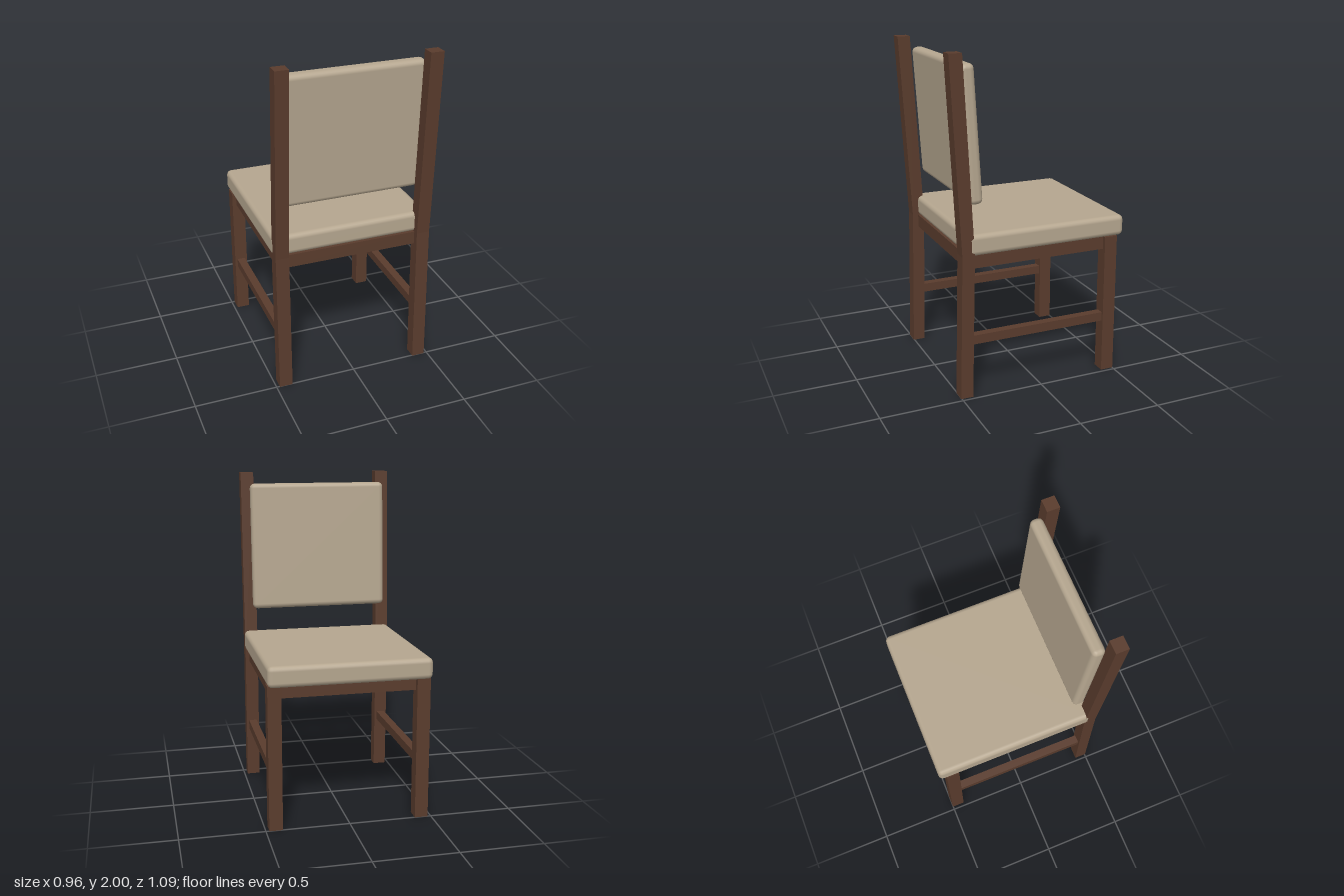
import * as THREE from 'three';
import { RoundedBoxGeometry } from 'three/addons/geometries/RoundedBoxGeometry.js';

const wood = new THREE.MeshStandardMaterial({ color: 0x5a3c2d });
const fabric = new THREE.MeshStandardMaterial({ color: 0xb5a68f });

function add(group, name, geometry, material, x, y, z) {
  const mesh = new THREE.Mesh(geometry, material);
  mesh.name = name;
  mesh.position.set(x, y, z);
  group.add(mesh);
  return mesh;
}

// Bent post: side profile in (z, y), extruded across x
function postGeometry(width) {
  const profile = new THREE.Shape([
    [0.43, 0], [0.505, 0], [0.485, 0.87], [0.547, 2], [0.47, 2], [0.41, 0.87],
  ].map(([z, y]) => new THREE.Vector2(z, y)));
  const geometry = new THREE.ExtrudeGeometry(profile, { depth: width, bevelEnabled: false });
  geometry.translate(0, 0, -width / 2);
  geometry.rotateY(-Math.PI / 2);
  return geometry;
}

export function createModel() {
  const chair = new THREE.Group();
  chair.name = 'chair';

  // Legs and low stretchers, mirrored across x
  for (const side of [-1, 1]) {
    const x = side * 0.44;
    add(chair, 'backPost', postGeometry(0.08), wood, x, 0, 0);
    add(chair, 'frontLeg', new THREE.BoxGeometry(0.08, 0.866, 0.08), wood, x, 0.433, -0.462);
    add(chair, 'sideStretcher', new THREE.BoxGeometry(0.05, 0.055, 0.87), wood, x, 0.352, 0.005);
  }

  // Seat frame
  add(chair, 'seatFrame', new THREE.BoxGeometry(0.91, 0.08, 0.92), wood, 0, 0.826, -0.01);

  // Cushions
  add(chair, 'seatCushion', new RoundedBoxGeometry(0.965, 0.126, 0.995, 2, 0.03), fabric, 0, 0.927, -0.0495);
  const back = add(chair, 'backCushion', new RoundedBoxGeometry(0.86, 0.79, 0.078, 2, 0.03), fabric, 0, 1.54, 0.394);
  back.rotation.x = 0.06;

  return chair;
}
